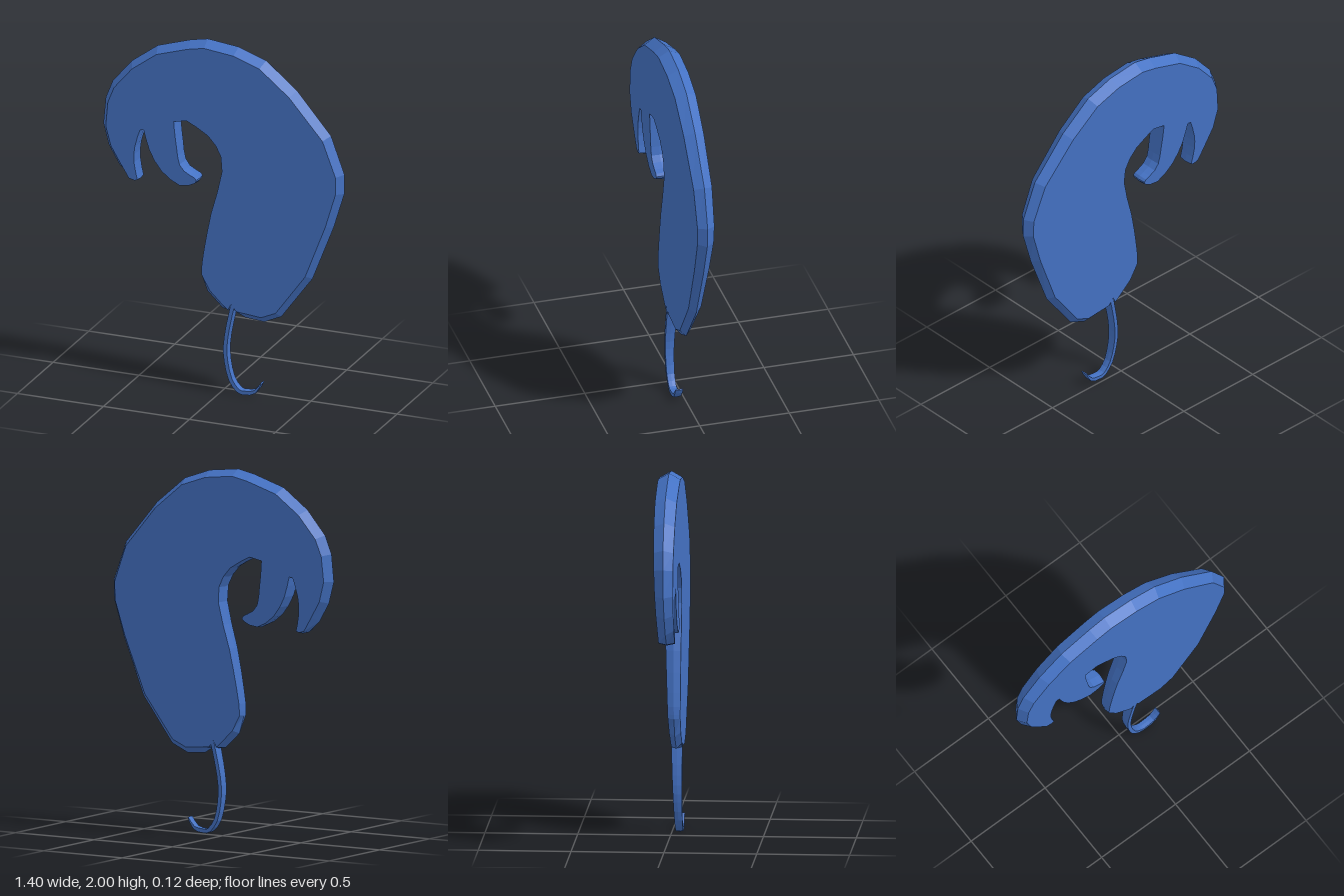
import * as THREE from 'three';

const blue = new THREE.MeshStandardMaterial({ color: 0x4472c4 });
blue.name = 'blue';

const FRONT = 0.06;
const backZ = (y) => 0.02 - 0.041 * y; // the slab thins toward the tail

const toVectors = (pts) => pts.map(([x, y]) => new THREE.Vector2(x, y));
const smooth = (pts, steps) => new THREE.SplineCurve(toVectors(pts)).getPoints(steps);
const withBevel = (points, bevel) => points.map((p) => ({ p, bevel }));

// Slab with a ridged rim from a counter-clockwise outline of { p, bevel }
function createSlab(name, rim) {
  const n = rim.length;

  // face outline: every rim point moved inward by its bevel
  const inner = rim.map(({ p, bevel }, i) => {
    const next = rim[(i + 1) % n].p.clone().sub(p).normalize();
    const last = p.clone().sub(rim[(i + n - 1) % n].p).normalize();
    const t = next.add(last).normalize();
    return new THREE.Vector2(p.x - t.y * bevel, p.y + t.x * bevel);
  });

  const front = inner.map((p) => [p.x, p.y, FRONT]);
  const middle = rim.map(({ p }) => [p.x, p.y, (FRONT + backZ(p.y)) / 2]);
  const back = inner.map((p) => [p.x, p.y, backZ(p.y)]);

  const corners = [];
  const tri = (a, b, c) => corners.push(...a, ...b, ...c);

  // front and back faces
  for (const [a, b, c] of THREE.ShapeUtils.triangulateShape(inner, [])) {
    tri(front[a], front[b], front[c]);
    tri(back[c], back[b], back[a]);
  }
  // two sloping bands meeting at the rim
  for (const [near, far] of [[front, middle], [middle, back]]) {
    for (let i = 0; i < n; i++) {
      const j = (i + 1) % n;
      tri(near[i], far[i], far[j]);
      tri(near[i], far[j], near[j]);
    }
  }

  const geometry = new THREE.BufferGeometry();
  geometry.setAttribute('position', new THREE.Float32BufferAttribute(corners, 3));
  geometry.computeVertexNormals(); // unshared corners give flat facets
  const mesh = new THREE.Mesh(geometry, blue);
  mesh.name = name;
  return mesh;
}

// Body: faceted outer edge, notched base, curved neck and two claws
function createBody() {
  const outer = toVectors([[-0.61, 1.21], [-0.67, 1.31], [-0.703, 1.43], [-0.69, 1.58], [-0.65, 1.68],
    [-0.54, 1.81], [-0.39, 1.92], [-0.2, 1.98], [-0.1, 2], [0.08, 1.98], [0.24, 1.925], [0.42, 1.78],
    [0.62, 1.55], [0.7, 1.34], [0.7, 1.23], [0.64, 1.03], [0.52, 0.72], [0.34, 0.475],
    [0.24, 0.43], [0.13, 0.44]]);
  const notch = toVectors([[0.08, 0.47], [0.06, 0.505], [0.045, 0.47]]);
  const base = toVectors([[0, 0.475], [-0.09, 0.56]]);
  const neck = smooth([[-0.12, 0.66], [-0.115, 0.75], [-0.07, 1], [0, 1.29], [-0.06, 1.44], [-0.2, 1.525]], 12);
  const hook = smooth([[-0.27, 1.515], [-0.255, 1.39], [-0.23, 1.265], [-0.15, 1.215]], 8);
  const hookBelly = smooth([[-0.138, 1.2], [-0.15, 1.175], [-0.24, 1.15], [-0.35, 1.22], [-0.42, 1.33], [-0.452, 1.44]], 10);
  const claw = smooth([[-0.467, 1.437], [-0.495, 1.34], [-0.5, 1.25], [-0.48, 1.15]], 6);
  const clawTip = toVectors([[-0.5, 1.135], [-0.54, 1.145]]);

  const rim = [
    ...withBevel(outer, 0.034),
    ...withBevel(notch, 0.01),
    ...withBevel(base, 0.03),
    ...withBevel(neck, 0.008),
    ...withBevel([...hook, ...hookBelly, ...claw], 0.005),
    ...withBevel(clawTip, 0.01),
  ];
  return createSlab('bodyWithClaws', rim.reverse());
}

// Tail: a narrow strip along a curve, tapering at the tip
function createTail() {
  const path = new THREE.SplineCurve(toVectors([[0.068, 0.51], [0.04, 0.38], [0.025, 0.27], [0.03, 0.18],
    [0.055, 0.08], [0.1, 0.022], [0.14, 0.015], [0.195, 0.028], [0.233, 0.083]]));
  const steps = 16;
  const right = [];
  const left = [];
  for (let i = 0; i <= steps; i++) {
    const t = i / steps;
    const p = path.getPoint(t);
    const d = path.getTangent(t);
    const half = 0.013 * Math.min(1, 0.3 + 4 * (1 - t));
    right.push(new THREE.Vector2(p.x + d.y * half, p.y - d.x * half));
    left.unshift(new THREE.Vector2(p.x - d.y * half, p.y + d.x * half));
  }
  return createSlab('tail', withBevel([...right, ...left], 0.002));
}

export function createModel() {
  const group = new THREE.Group();
  group.name = 'hookedSlab';
  group.add(createBody(), createTail());
  return group;
}
